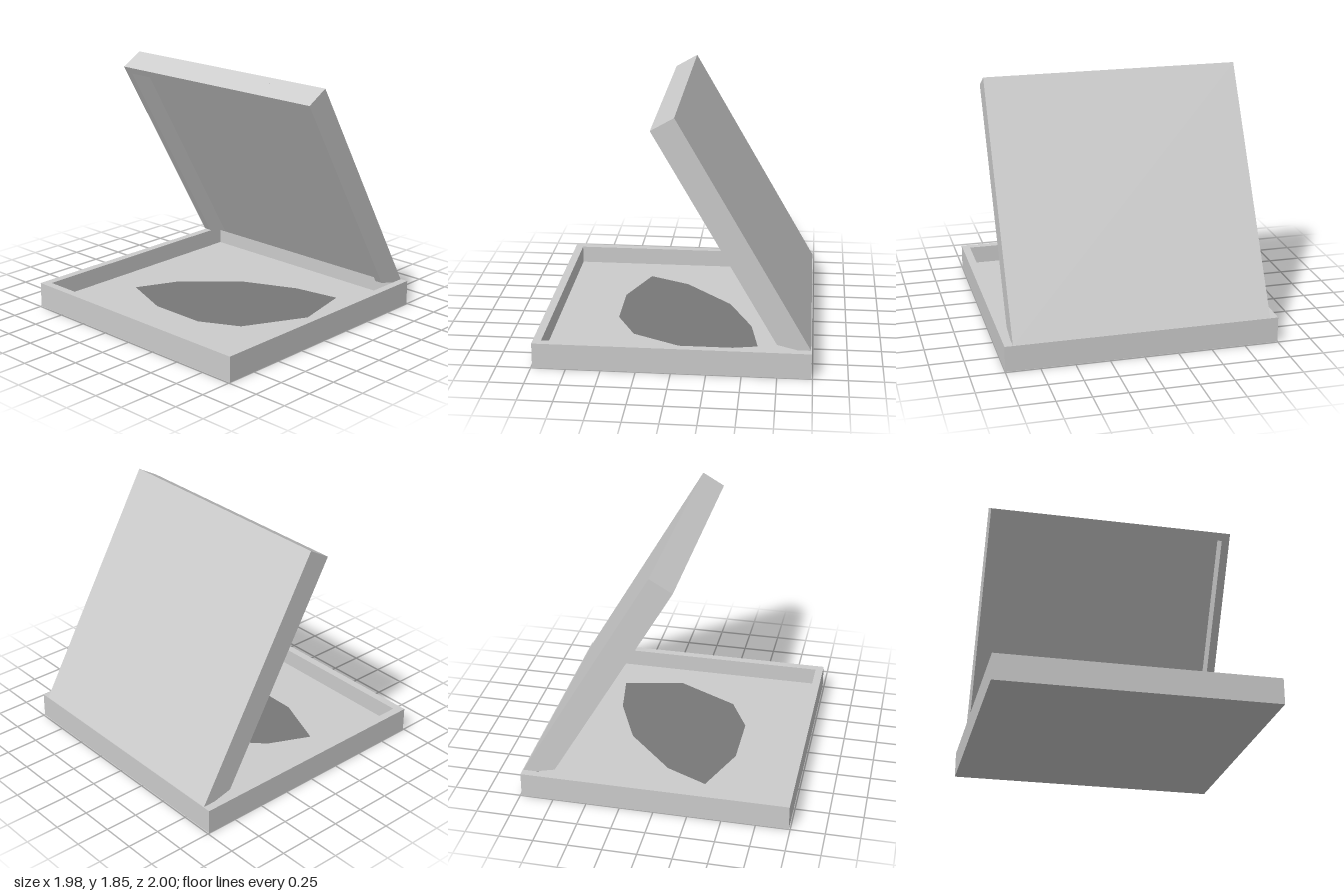
import * as THREE from 'three';

const grey = new THREE.MeshStandardMaterial({ color: 0xcccccc, flatShading: true });
const dark = new THREE.MeshStandardMaterial({ color: 0x787878, flatShading: true, side: THREE.DoubleSide });

const toShape = (pts) => new THREE.Shape(pts.map(([x, y]) => new THREE.Vector2(x, y)));
const rect = (w, d) => [[-w, -d], [w, -d], [w, d], [-w, d]];

function addMesh(parent, name, geometry, material = grey) {
  const mesh = new THREE.Mesh(geometry, material);
  mesh.name = name;
  parent.add(mesh);
  return mesh;
}

// Side profile in x/y, extruded from z0 to z1
function slab(parent, name, pts, z0, z1) {
  const geo = new THREE.ExtrudeGeometry(toShape(pts), { depth: z1 - z0, bevelEnabled: false });
  geo.translate(0, 0, z0);
  return addMesh(parent, name, geo);
}

export function createModel() {
  const model = new THREE.Group();
  model.name = 'openCase';
  const height = 0.19, wall = 0.06, floorTop = 0.055;

  // Base: four walls as one frame, with a floor inside
  const base = new THREE.Group();
  base.name = 'base';
  model.add(base);
  const frame = toShape(rect(0.99, 1));
  frame.holes.push(toShape(rect(0.93, 0.94)));
  const walls = new THREE.ExtrudeGeometry(frame, { depth: height, bevelEnabled: false });
  addMesh(base, 'baseWalls', walls.rotateX(-Math.PI / 2));
  const floor = new THREE.BoxGeometry(1.86, floorTop, 1.88);
  addMesh(base, 'baseFloor', floor.translate(0, floorTop / 2, 0));

  // Irregular dark patch lying on the floor (x, z corners)
  const patch = [
    [0.6, 0.62], [0.145, 0.72], [-0.325, 0.48], [-0.475, 0.185], [-0.475, -0.25],
    [-0.317, -0.66], [-0.006, -0.515], [0.357, -0.14], [0.54, 0.268],
  ].map(([x, z]) => [x, -z]);
  const patchGeo = new THREE.ShapeGeometry(toShape(patch)).rotateX(-Math.PI / 2);
  addMesh(base, 'floorPatch', patchGeo.translate(0, floorTop + 0.004, 0), dark);

  // Lid: opened 120 degrees about the hinge edge.
  // Points are given as [distance up the lid, depth from the outer face].
  const lid = new THREE.Group();
  lid.name = 'lid';
  model.add(lid);
  const c = 0.5, s = Math.sqrt(3) / 2, length = 1.92, half = 0.94;
  const onLid = (pts) => pts.map(([l, d]) => [0.985 - c * l - s * d, 0.19 + s * l - c * d]);

  slab(lid, 'lidPanel', onLid([[0, 0], [length, 0], [length, wall], [0, wall]]), -half, half);
  // Side rims with a slanted lower end
  const rim = onLid([[0.026, wall], [length, wall], [length, height], [0.15, height]]);
  slab(lid, 'lidFrontRim', rim, half - wall, half);
  slab(lid, 'lidBackRim', rim, -half, wall - half);
  // Rim along the free edge
  const end = length - wall;
  slab(lid, 'lidTopRim', onLid([[end, wall], [length, wall], [length, height], [end, height]]),
    wall - half, half - wall);

  return model;
}
